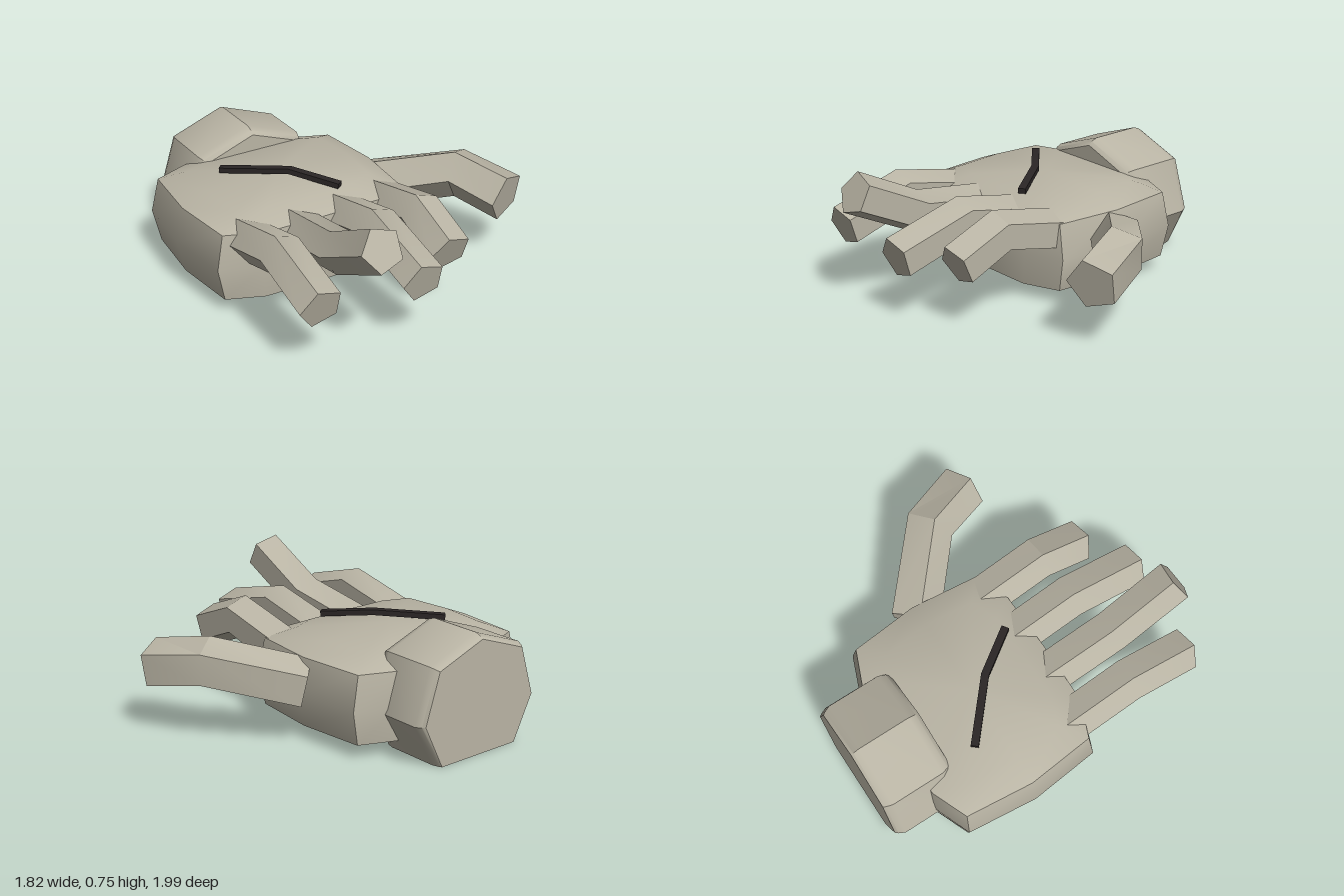
import * as THREE from 'three';
import { toCreasedNormals } from 'three/addons/utils/BufferGeometryUtils.js';

const stone = new THREE.MeshStandardMaterial({ color: 0xbab5a5 });
stone.name = 'stone';
const crack = new THREE.MeshStandardMaterial({ color: 0x2b2626 });
crack.name = 'crack';
const V = (x, y, z) => new THREE.Vector3(x, y, z);

// Skin a list of equal-length rings (counter-clockwise about the path), capped
// with fans around the two given end points.
function loft(rings, start, end, crease = 0.5) {
  const n = rings[0].length, pos = [];
  const tri = (...pts) => pts.forEach((p) => pos.push(p.x, p.y, p.z));
  const last = rings[rings.length - 1];
  for (let j = 0; j < n; j++) {
    const k = (j + 1) % n;
    tri(start, rings[0][k], rings[0][j]);
    for (let i = 0; i < rings.length - 1; i++) {
      const a = rings[i], b = rings[i + 1];
      tri(a[j], a[k], b[k]);
      tri(a[j], b[k], b[j]);
    }
    tri(end, last[j], last[k]);
  }
  const g = new THREE.BufferGeometry();
  g.setAttribute('position', new THREE.Float32BufferAttribute(pos, 3));
  return toCreasedNormals(g, crease);
}

// Sweep a polygon section along a bent path, with mitred joints
function sweep(path, sides, ru, rv, turn) {
  const up = V(0, 1, 0);
  const rings = path.map((p, i) => {
    const before = p.clone().sub(path[Math.max(i - 1, 0)]).normalize();
    const after = path[Math.min(i + 1, path.length - 1)].clone().sub(p).normalize();
    const dir = before.add(after).normalize();
    const u = up.clone().cross(dir).normalize();
    const v = dir.clone().cross(u);
    return Array.from({ length: sides }, (_, j) => {
      const a = turn + (j / sides) * Math.PI * 2;
      return p.clone().addScaledVector(u, ru * Math.cos(a)).addScaledVector(v, rv * Math.sin(a));
    });
  });
  return loft(rings, path[0], path[path.length - 1]);
}

function palmGeometry() {
  // One quarter of the rounded twelve-sided outline, mirrored to a full loop
  const q = [[1, 0], [0.935, 0.81], [0.59, 0.985], [0, 1]];
  const outline = [
    ...q,
    ...[2, 1, 0].map((i) => [-q[i][0], q[i][1]]),
    ...[1, 2, 3].map((i) => [-q[i][0], -q[i][1]]),
    ...[2, 1].map((i) => [q[i][0], -q[i][1]]),
  ];
  const cx = -0.285, cz = -0.278;
  const levels = [[0.02, 0.7, 0.71], [0.08, 0.93, 0.965], [0.27, 1, 1], [0.46, 0.93, 0.965], [0.52, 0.7, 0.69]];
  const rings = levels.map(([y, sx, sz]) =>
    outline.map(([x, z]) => V(cx + x * 0.627 * sx, y, cz - z * 0.488 * sz)));
  return loft(rings, V(cx, 0.006, cz), V(cx, 0.535, cz), 0.6);
}

function wristGeometry() {
  // Seven-sided stump with a flat base and bevelled ends
  const half = [[0.28, 0], [0.41, 0.24], [0.315, 0.535]];
  const section = [...half, [0, 0.65], ...half.map(([x, y]) => [-x, y]).reverse()];
  const cx = -0.27, cy = 0.31;
  const rings = [[-1, 0.93], [-0.985, 0.96], [-0.95, 1], [-0.65, 1], [-0.61, 0.96], [-0.59, 0.9]].map(([z, s]) =>
    section.map(([x, y]) => V(cx + x * s, y === 0 ? 0 : cy + (y - cy) * s, z)));
  return loft(rings, V(cx, cy, -1), V(cx, cy, -0.59), 0.65);
}

export function createModel() {
  const model = new THREE.Group();
  model.name = 'hand';
  const add = (name, geometry, material = stone) => {
    const mesh = new THREE.Mesh(geometry, material);
    mesh.name = name;
    model.add(mesh);
  };

  add('palm', palmGeometry());
  add('wrist', wristGeometry());

  // Fingers: x, then bend and tip as [y, z]
  const fingers = [
    ['littleFinger', -0.68, [0.475, 0.45], [0.36, 0.835]],
    ['ringFinger', -0.4, [0.455, 0.55], [0.65, 0.94]],
    ['middleFinger', -0.12, [0.475, 0.46], [0.36, 0.89]],
    ['indexFinger', 0.16, [0.475, 0.44], [0.36, 0.715]],
  ];
  for (const [name, x, bend, tip] of fingers) {
    const path = [V(x, 0.37, -0.02), V(x, ...bend), V(x, ...tip)];
    add(name, sweep(path, 5, 0.12, 0.12, Math.PI));
  }

  const thumbPath = [V(0.29, 0.31, -0.28), V(0.67, 0.42, 0.06), V(0.79, 0.36, 0.36)];
  add('thumb', sweep(thumbPath, 5, 0.143, 0.143, Math.PI));

  // Dark crack across the back of the hand
  const crackPath = [V(-0.56, 0.545, -0.435), V(-0.27, 0.57, -0.18), V(-0.1, 0.538, 0.06)];
  add('crack', sweep(crackPath, 4, 0.03, 0.021, Math.PI / 4), crack);

  return model;
}
